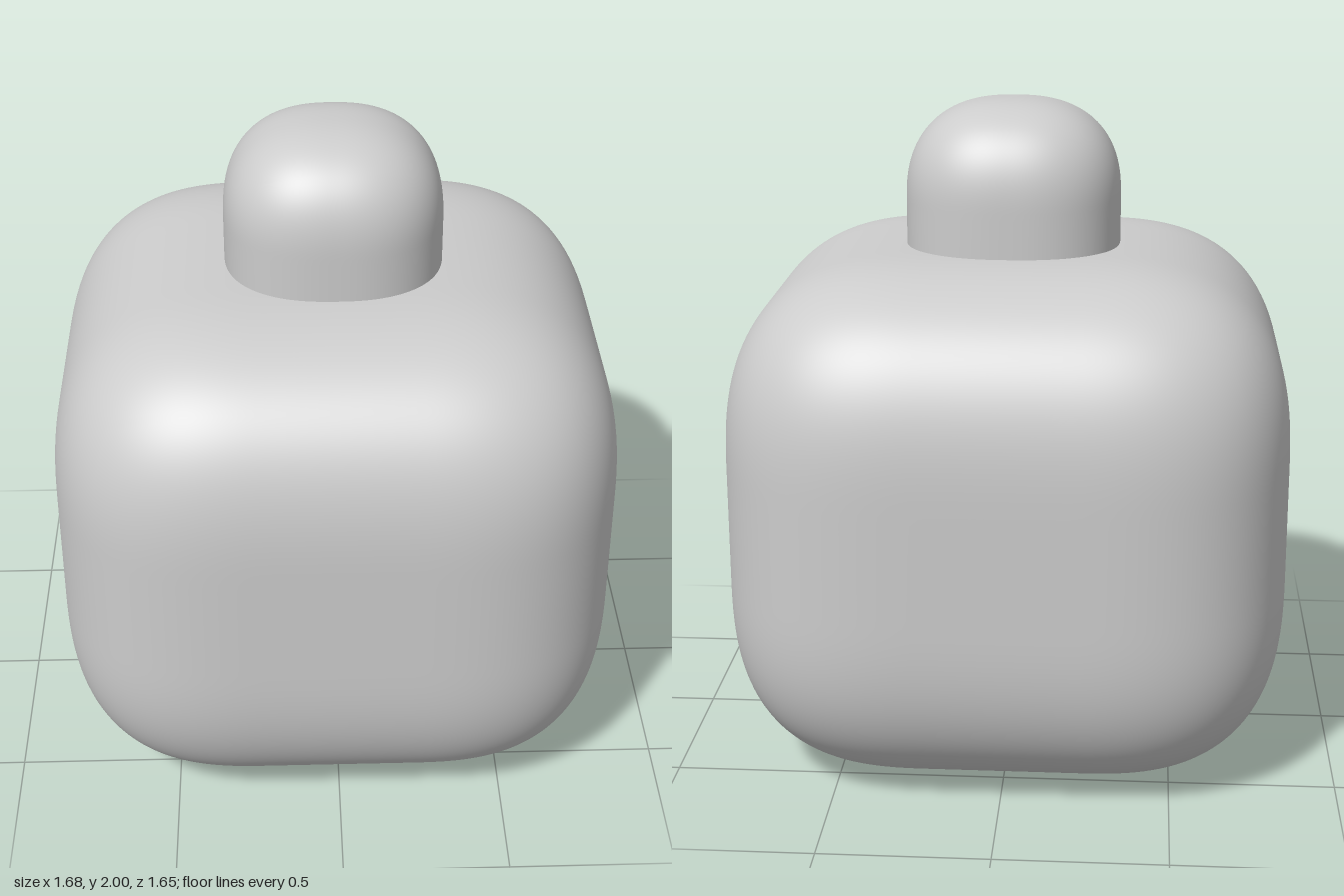
import * as THREE from 'three';
import { mergeVertices } from 'three/addons/utils/BufferGeometryUtils.js';

const material = new THREE.MeshStandardMaterial({ color: 0xcccccc });

// Softly rounded box: half sizes and corner radii per axis, n sets corner fullness
function softBox(half, radius, n, segments) {
  let geometry = new THREE.BoxGeometry(2, 2, 2, segments, segments, segments);
  geometry.deleteAttribute('uv');
  geometry.deleteAttribute('normal');
  geometry = mergeVertices(geometry);
  const position = geometry.attributes.position;
  const axes = [0, 1, 2];
  for (let i = 0; i < position.count; i++) {
    const p = axes.map((a) => position.getComponent(i, a) * half[a]);
    const core = axes.map((a) => THREE.MathUtils.clamp(p[a], radius[a] - half[a], half[a] - radius[a]));
    const d = axes.map((a) => (p[a] - core[a]) / radius[a]);
    const length = d.reduce((sum, v) => sum + Math.abs(v) ** n, 0) ** (1 / n);
    axes.forEach((a) => position.setComponent(i, a, core[a] + (d[a] / length) * radius[a]));
  }
  geometry.computeVertexNormals();
  return geometry;
}

function addPart(group, name, geometry, y) {
  const mesh = new THREE.Mesh(geometry, material);
  mesh.name = name;
  mesh.position.y = y;
  group.add(mesh);
}

export function createModel() {
  const group = new THREE.Group();
  group.name = 'stopperedBottle';

  // Cushion-shaped body resting on the ground
  addPart(group, 'body', softBox([0.842, 0.784, 0.825], [0.62, 0.62, 0.62], 2.75, 56), 0.784);

  // Domed stopper, its lower end sunk into the body
  addPart(group, 'stopper', softBox([0.324, 0.4, 0.308], [0.324, 0.3, 0.308], 2.45, 40), 1.6);

  return group;
}
